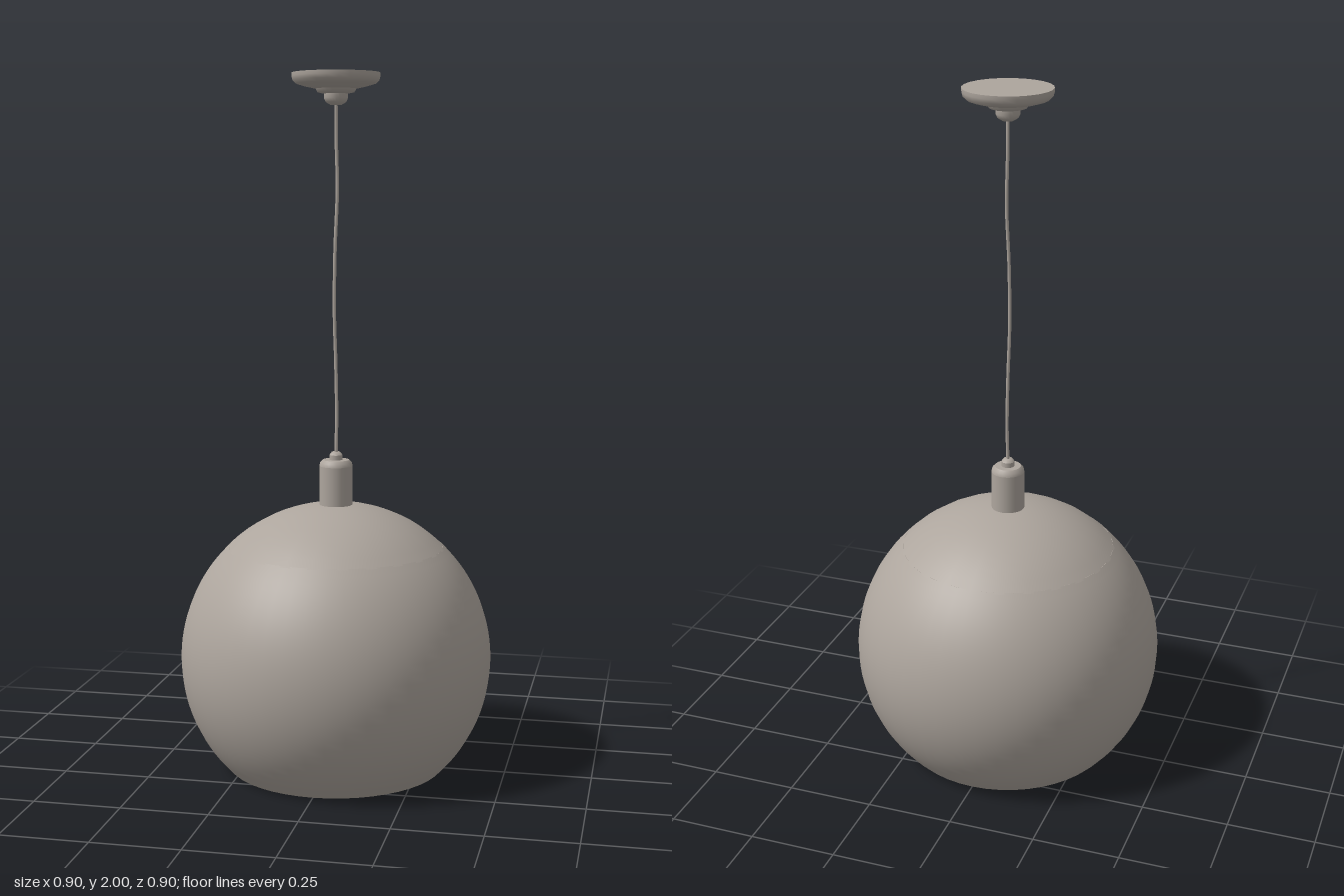
import * as THREE from 'three';

const V = (x, y) => new THREE.Vector2(x, y);

// Points on the globe's circle between two heights, from bottom to top
function globeArc(radius, centreY, y0, y1, steps) {
  const a0 = Math.asin(Math.max(-1, (y0 - centreY) / radius));
  const a1 = Math.asin(Math.min(1, (y1 - centreY) / radius));
  return Array.from({ length: steps + 1 }, (_, i) => {
    const a = a0 + (a1 - a0) * i / steps;
    return V(Math.max(0, radius * Math.cos(a)), centreY + radius * Math.sin(a));
  });
}

export function createModel() {
  const group = new THREE.Group();
  group.name = 'pendantLamp';
  const metal = new THREE.MeshStandardMaterial({ color: 0xada59d, side: THREE.DoubleSide });
  metal.name = 'warmGrey';

  const add = (name, geometry) => {
    const mesh = new THREE.Mesh(geometry, metal);
    mesh.name = name;
    group.add(mesh);
    return mesh;
  };
  // Each profile is a list of smooth runs; breaks between runs stay sharp
  const lathe = (name, runs, segments) => {
    const part = new THREE.Group();
    part.name = name;
    runs.forEach((run) => {
      const mesh = new THREE.Mesh(new THREE.LatheGeometry(run, segments), metal);
      mesh.name = name + 'Surface';
      part.add(mesh);
    });
    group.add(part);
  };

  // Globe shade, open below, with a thin lip at the top opening
  const R = 0.452, C = 0.322;
  const shade = globeArc(R, C, 0, 0.65, 28);
  const rim = shade[shade.length - 1];
  lathe('shade', [shade, [rim, V(rim.x - 0.008, 0.647)]], 48);

  // Domed cap closing the top of the globe
  lathe('shadeCap', [globeArc(R, C + 0.001, 0.647, 0.775, 10)], 24);

  // Lamp holder with a rounded shoulder
  lathe('socket', [
    [V(0.048, 0.765), V(0.048, 0.885)],
    [V(0.048, 0.885), V(0.046, 0.895), V(0.038, 0.903)],
    [V(0.038, 0.903), V(0, 0.903)],
  ], 24);

  // Cord grip
  lathe('cordGrip', [
    [V(0.019, 0.9), V(0.019, 0.917)],
    [V(0.019, 0.917), V(0.012, 0.926), V(0, 0.926)],
  ], 16);

  // Slightly wavy cord
  const path = new THREE.CatmullRomCurve3([
    [0, 0.915, 0], [0.001, 1.03, -0.005], [-0.001, 1.18, -0.003], [-0.004, 1.33, 0.003],
    [-0.002, 1.5, 0.004], [0.004, 1.68, 0], [0.001, 1.8, -0.001], [0, 1.92, 0],
  ].map((p) => new THREE.Vector3(...p)));
  add('cord', new THREE.TubeGeometry(path, 40, 0.005, 8));

  // Ceiling canopy: flat top, rolled edge, stepped underside
  lathe('canopy', [
    [V(0.034, 1.953), V(0.058, 1.956), V(0.09, 1.963), V(0.113, 1.97), V(0.122, 1.979), V(0.125, 1.99), V(0.125, 2)],
    [V(0.125, 2), V(0, 2)],
  ], 24);
  lathe('canopyCollar', [
    [V(0.034, 1.942), V(0.052, 1.946), V(0.058, 1.957)],
    [V(0, 1.91), V(0.016, 1.911), V(0.029, 1.919), V(0.034, 1.93), V(0.034, 1.945)],
  ], 24);

  return group;
}
